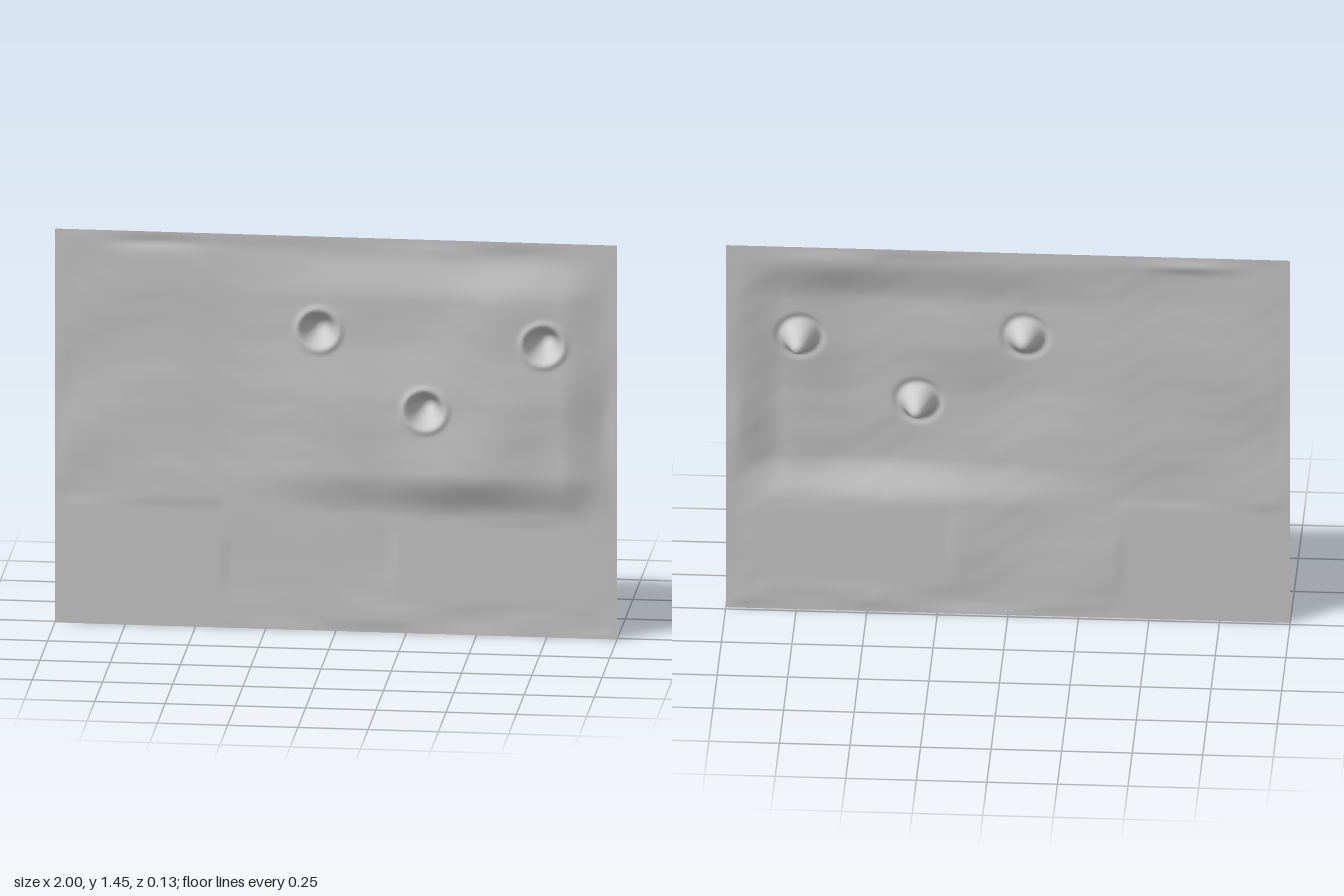
import * as THREE from 'three';

const HEIGHT = 1.45;
const step = THREE.MathUtils.smoothstep;
const bell = (v, c, w) => Math.exp(-(((v - c) / w) ** 2));

// Pits: centre x, centre y, depth reached by the tip
const pits = [[-0.06, 1.11, -0.05], [0.32, 0.83, -0.06], [0.74, 1.08, -0.07]];

// Piecewise smooth profile through [position, value] pairs
function profile(points, v) {
  for (let i = 1; i < points.length; i++) {
    const [a, fa] = points[i - 1], [b, fb] = points[i];
    if (v <= b) return fa + (fb - fa) * step(v, a, b);
  }
  return points[points.length - 1][1];
}

const swellX = [[-0.45, 0], [0.1, 0.6], [0.55, 1], [0.8, 0.7], [0.98, 0]];
const swellY = [[0.43, 0], [0.6, 1], [0.85, 0.97], [1.1, 0.68], [1.23, 0.68], [1.4, 0]];

// Level patches along the bottom: 1 inside, 0 outside
function flatness(x, y) {
  const left = (1 - step(x, -0.42, -0.37)) * (1 - step(y, 0.43, 0.48));
  const right = step(x, 0.17, 0.23) * (1 - step(x, 0.88, 0.93)) * (1 - step(y, 0.39, 0.45)) * step(y, 0.07, 0.13);
  return Math.max(left, right);
}

function ripple(x, y) {
  const broad = 0.0022 * Math.sin(4.1 * x + 9 * y + 1.5 * Math.sin(3 * x))
    + 0.0016 * Math.sin(15 * y - 5 * x + 2 * Math.sin(4 * x + 1))
    + 0.0010 * Math.sin(11 * x + 7 * y + Math.sin(9 * y));
  const fine = 0.00025 * Math.sin(55 * y + 16 * x + 2 * Math.sin(14 * x));
  return broad + fine;
}

function surfaceDepth(x, y) {
  const border = step(1 - Math.abs(x), 0, 0.06) * step(y, 0, 0.05) * step(HEIGHT - y, 0, 0.05);
  let z = 0.013 + 0.047 * profile(swellX, x) * profile(swellY, y);
  z += ripple(x, y) * (1 - flatness(x, y)) * border;
  // long dent near the upper left edge
  z -= 0.006 * bell(x, -0.65, 0.15) * bell(y, 1.41, 0.02);
  for (const [px, py, tip] of pits) {
    const r = Math.hypot(x - px, y - py);
    z += 0.006 * bell(r, 0.076, 0.012);
    z += (tip - z) * (1 - step(r, 0.008, 0.07));
  }
  return z;
}

export function createModel() {
  const group = new THREE.Group();
  group.name = 'reliefPanel';

  // Sheet displaced by the swelling, ripples and pits
  const geometry = new THREE.PlaneGeometry(2, HEIGHT, 240, 174);
  geometry.translate(0, HEIGHT / 2, 0);
  const position = geometry.attributes.position;
  for (let i = 0; i < position.count; i++) {
    position.setZ(i, surfaceDepth(position.getX(i), position.getY(i)));
  }
  geometry.computeVertexNormals();

  const material = new THREE.MeshStandardMaterial({ color: 0xcccccc, side: THREE.DoubleSide });
  const sheet = new THREE.Mesh(geometry, material);
  sheet.name = 'pittedSheet';
  group.add(sheet);
  return group;
}
